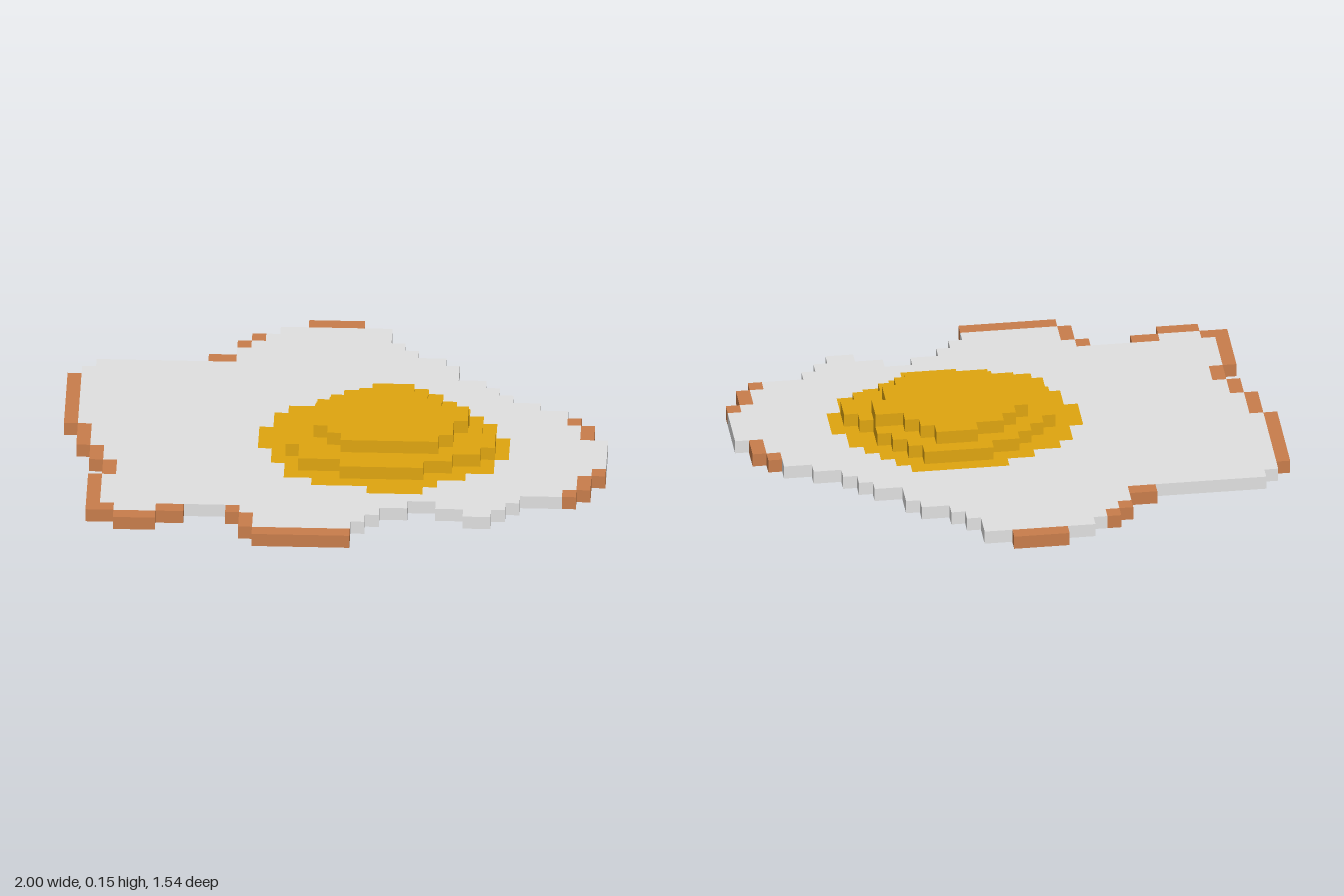
import * as THREE from 'three';

const COLS = 39, ROWS = 30, S = 2 / COLS;

// Egg white: [start, end) columns for each row, back to front
const WHITE_ROWS = [
  [17, 21], [15, 23], [13, 23], [12, 24], [12, 25], [10, 27], [2, 28], [1, 28], [0, 30], [0, 31],
  [0, 32], [0, 34], [0, 36], [0, 37], [0, 38], [1, 38], [1, 39], [1, 39], [2, 39], [2, 39],
  [3, 39], [3, 38], [2, 38], [2, 37], [2, 33], [2, 25, 27, 32], [2, 9, 12, 23, 29, 31],
  [4, 7, 13, 22], [13, 21], [14, 21],
];

// Browned rim blocks: [first row, end row, first column, end column]
const CRISP_BLOCKS = [
  [0, 1, 17, 21], [2, 3, 13, 14], [3, 4, 12, 13], [5, 6, 10, 12],
  [8, 15, 0, 1], [15, 18, 1, 2], [18, 20, 2, 3], [20, 22, 3, 4], [22, 27, 2, 3],
  [26, 27, 3, 4], [27, 28, 4, 7], [26, 27, 7, 9],
  [26, 27, 12, 13], [27, 29, 13, 14], [29, 30, 14, 21],
  [13, 14, 36, 37], [14, 16, 37, 38], [20, 21, 38, 39], [21, 23, 37, 38], [23, 24, 36, 37],
];

// Yolk tiers from the bottom up: first row, then columns per row
const YOLK_TIERS = [
  { first: 10, rows: [[20, 27], [18, 28], [16, 29], [15, 30], [15, 31], [14, 31], [14, 32],
    [14, 32], [15, 32], [15, 31], [16, 31], [16, 29], [18, 27], [22, 26]] },
  { first: 11, rows: [[21, 26], [19, 27], [18, 28], [17, 29], [16, 29], [16, 30], [16, 31],
    [16, 31], [17, 30], [17, 28], [20, 26]] },
  { first: 12, rows: [[22, 25], [20, 26], [19, 27], [18, 29], [18, 29], [18, 28], [19, 28], [20, 27]] },
];

function buildCells() {
  const cells = new Map();
  const fill = (layer, row, c0, c1, part) => {
    for (let c = c0; c < c1; c++) cells.set(`${c},${layer},${row}`, { p: [c, layer, row], part });
  };
  WHITE_ROWS.forEach((runs, row) => {
    for (let i = 0; i < runs.length; i += 2) fill(0, row, runs[i], runs[i + 1], 'eggWhite');
  });
  for (const [r0, r1, c0, c1] of CRISP_BLOCKS) {
    for (let r = r0; r < r1; r++) fill(0, r, c0, c1, 'crispEdge');
  }
  YOLK_TIERS.forEach(({ first, rows }, layer) => {
    rows.forEach(([c0, c1], i) => fill(layer, first + i, c0, c1, 'yolk'));
  });
  return cells;
}

// Outer faces of all blocks belonging to one part
function blockGeometry(cells, part) {
  const positions = [], normals = [];
  for (const cell of cells.values()) {
    if (cell.part !== part) continue;
    for (let axis = 0; axis < 3; axis++) {
      for (const sign of [-1, 1]) {
        const next = [...cell.p];
        next[axis] += sign;
        if (cells.has(next.join())) continue;
        const normal = [0, 0, 0];
        normal[axis] = sign;
        const corners = [[0, 0], [1, 0], [1, 1], [0, 1]];
        if (sign < 0) corners.reverse();
        for (const k of [0, 1, 2, 0, 2, 3]) {
          const q = [...cell.p];
          if (sign > 0) q[axis] += 1;
          q[(axis + 1) % 3] += corners[k][0];
          q[(axis + 2) % 3] += corners[k][1];
          positions.push((q[0] - COLS / 2) * S, q[1] * S, (q[2] - ROWS / 2) * S);
          normals.push(...normal);
        }
      }
    }
  }
  const geometry = new THREE.BufferGeometry();
  geometry.setAttribute('position', new THREE.Float32BufferAttribute(positions, 3));
  geometry.setAttribute('normal', new THREE.Float32BufferAttribute(normals, 3));
  return geometry;
}

export function createModel() {
  const group = new THREE.Group();
  group.name = 'friedEgg';
  const cells = buildCells();
  const colors = { eggWhite: 0xe0e0e0, crispEdge: 0xc87d4b, yolk: 0xdfa50f };
  for (const [part, color] of Object.entries(colors)) {
    const material = new THREE.MeshStandardMaterial({ color });
    material.name = part + 'Color';
    const mesh = new THREE.Mesh(blockGeometry(cells, part), material);
    mesh.name = part;
    group.add(mesh);
  }
  return group;
}
